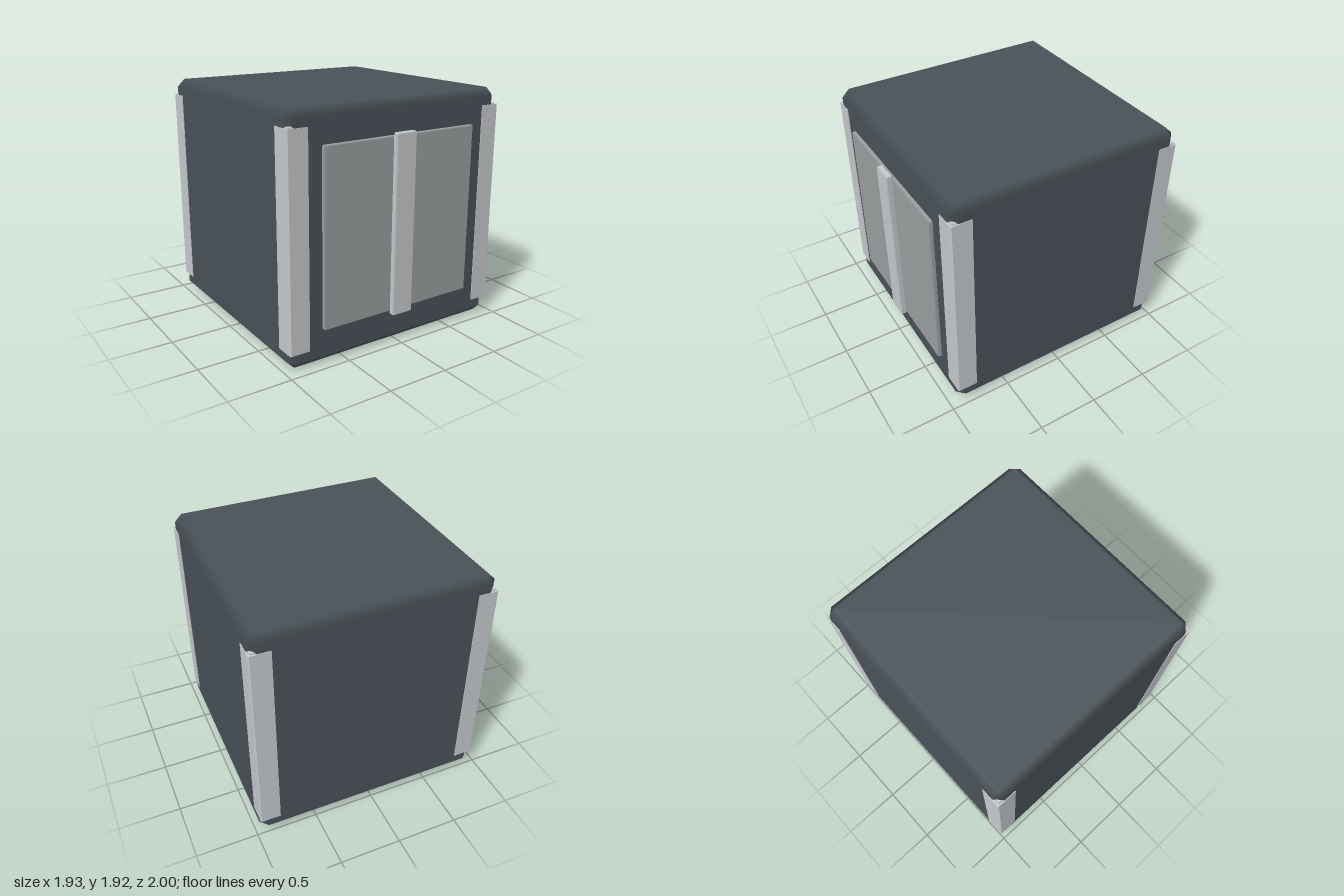
import * as THREE from 'three';
import { ConvexGeometry } from 'three/addons/geometries/ConvexGeometry.js';

const mat = (color) => new THREE.MeshStandardMaterial({ color });

// Box with 45 degree chamfers, shaded softly across the chamfers
function chamferBox(w, h, d, c) {
  const half = [w / 2, h / 2, d / 2];
  const points = [];
  for (const sx of [-1, 1]) for (const sy of [-1, 1]) for (const sz of [-1, 1]) {
    for (let axis = 0; axis < 3; axis++) {
      const p = [sx, sy, sz].map((s, i) => s * (half[i] - (i === axis ? 0 : c)));
      points.push(new THREE.Vector3(...p));
    }
  }
  const geo = new ConvexGeometry(points);
  const pos = geo.attributes.position;
  // each vertex takes the normal of the flat side it lies on
  for (let i = 0; i < pos.count; i++) {
    const p = [pos.getX(i), pos.getY(i), pos.getZ(i)];
    const n = p.map((v, k) => (half[k] - Math.abs(v) < c * 0.5 ? Math.sign(v) : 0));
    geo.attributes.normal.setXYZ(i, ...n);
  }
  return geo;
}

// Box given by its limits on each axis
function block(name, x, y, z, c, material) {
  const mesh = new THREE.Mesh(
    chamferBox(x[1] - x[0], y[1] - y[0], z[1] - z[0], c), material);
  mesh.position.set((x[0] + x[1]) / 2, (y[0] + y[1]) / 2, (z[0] + z[1]) / 2);
  mesh.name = name;
  return mesh;
}

// Upright angle strip; its outer corner is at the origin and its arms run to +x and +y
function guardGeometry(arm, thick, height) {
  const c = 0.008;
  const shape = new THREE.Shape([
    [c, 0], [arm, 0], [arm, thick], [thick, thick], [thick, arm], [0, arm], [0, c],
  ].map(([x, y]) => new THREE.Vector2(x, y)));
  const geo = new THREE.ExtrudeGeometry(shape, { depth: height, bevelEnabled: false });
  return geo.rotateX(-Math.PI / 2);
}

export function createModel() {
  const model = new THREE.Group();
  const dark = mat(0x4a5359), grey = mat(0x9da1a2), light = mat(0xc8cccf);

  // Main body
  model.add(block('body', [-0.96, 0.96], [0, 1.92], [-0.995, 0.925], 0.062, dark));

  // Front panel and the strip down its middle
  model.add(block('frontPanel', [-0.69, 0.69], [0.275, 1.655], [0.915, 0.957], 0.012, grey));
  model.add(block('centreStrip', [-0.093, 0.093], [0.25, 1.68], [0.945, 1], 0.012, light));

  // Corner guards, turned a quarter round for each upright edge
  const guard = guardGeometry(0.165, 0.05, 1.655);
  const corners = [
    [-0.965, 0.93, 'frontRight'], [0.965, 0.93, 'frontLeft'],
    [0.965, -1, 'backLeft'], [-0.965, -1, 'backRight'],
  ];
  corners.forEach(([x, z, side], i) => {
    const group = new THREE.Group();
    group.name = side + 'CornerGuard';
    const angle = new THREE.Mesh(guard, light);
    angle.name = 'angleStrip';
    // raised core that shows at both ends of the strip
    const core = block('guardCore', [0.012, 0.075], [-0.012, 1.667], [-0.075, -0.012], 0.012, light);
    group.add(angle, core);
    group.position.set(x, 0.135, z);
    group.rotation.y = i * Math.PI / 2;
    model.add(group);
  });

  return model;
}
